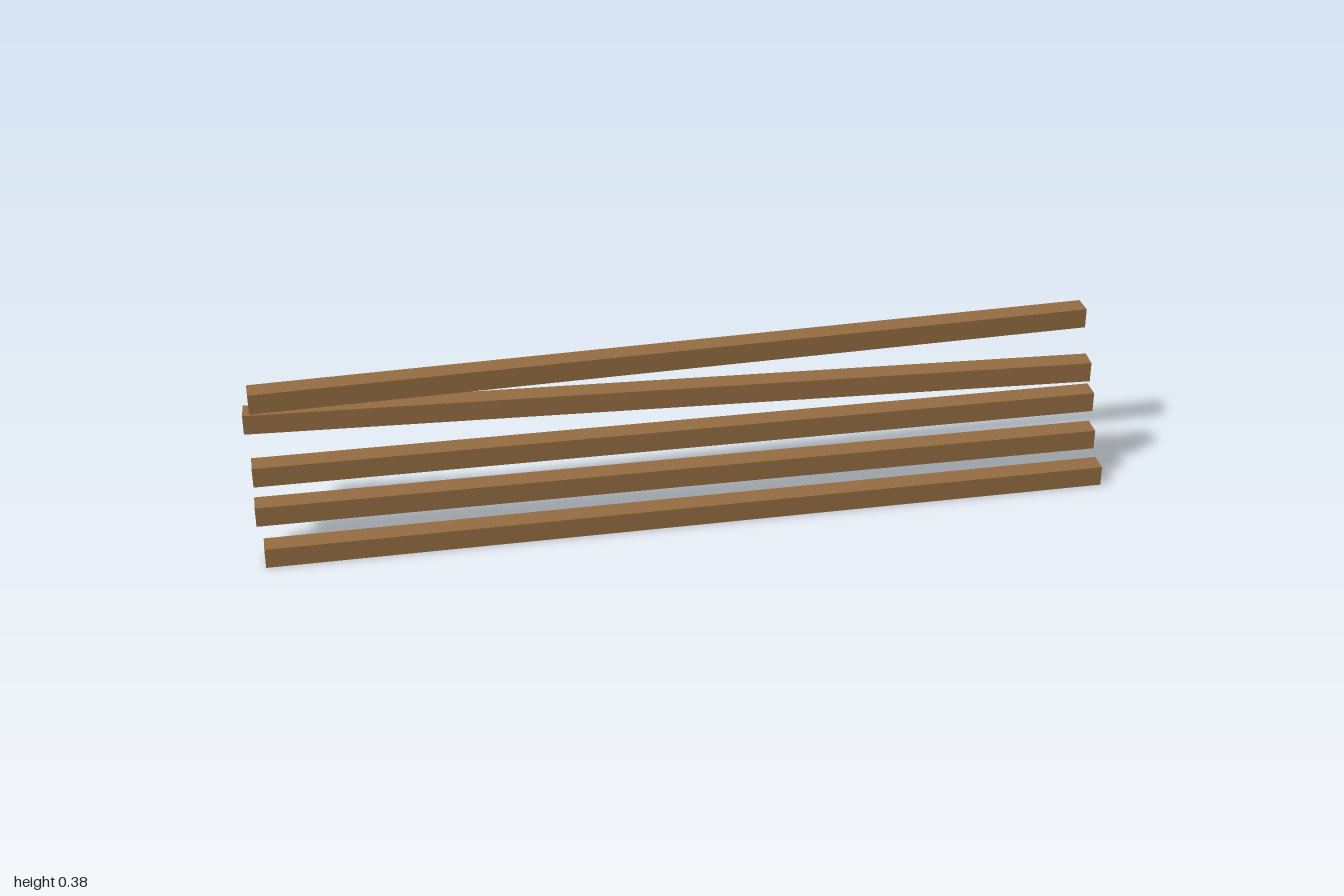
import * as THREE from 'three';

const LENGTH = 1.972, THICK = 0.0485, STEP = 0.0826;

// One row per beam, bottom to top: centre x, z at the -x end, z at the +x end
const BEAMS = [
  [0.01, 0.099, 0.085],
  [-0.003, 0.053, 0.051],
  [-0.0015, 0.018, 0.016],
  [-0.0135, -0.08, 0.0165],
  [0.003, -0.024, -0.098],
];

export function createModel() {
  const model = new THREE.Group();
  model.name = 'beamStack';
  const wood = new THREE.MeshStandardMaterial({ color: 0x946c42 });
  wood.name = 'brown wood';
  const geometry = new THREE.BoxGeometry(LENGTH, THICK, THICK);

  // Loose stack of square beams, each slightly turned about the vertical
  BEAMS.forEach(([x, zRight, zLeft], i) => {
    const beam = new THREE.Mesh(geometry, wood);
    beam.name = `beam${i + 1}`;
    beam.position.set(x, THICK / 2 + i * STEP, (zRight + zLeft) / 2);
    beam.rotation.y = Math.asin((zRight - zLeft) / LENGTH);
    model.add(beam);
  });
  return model;
}
